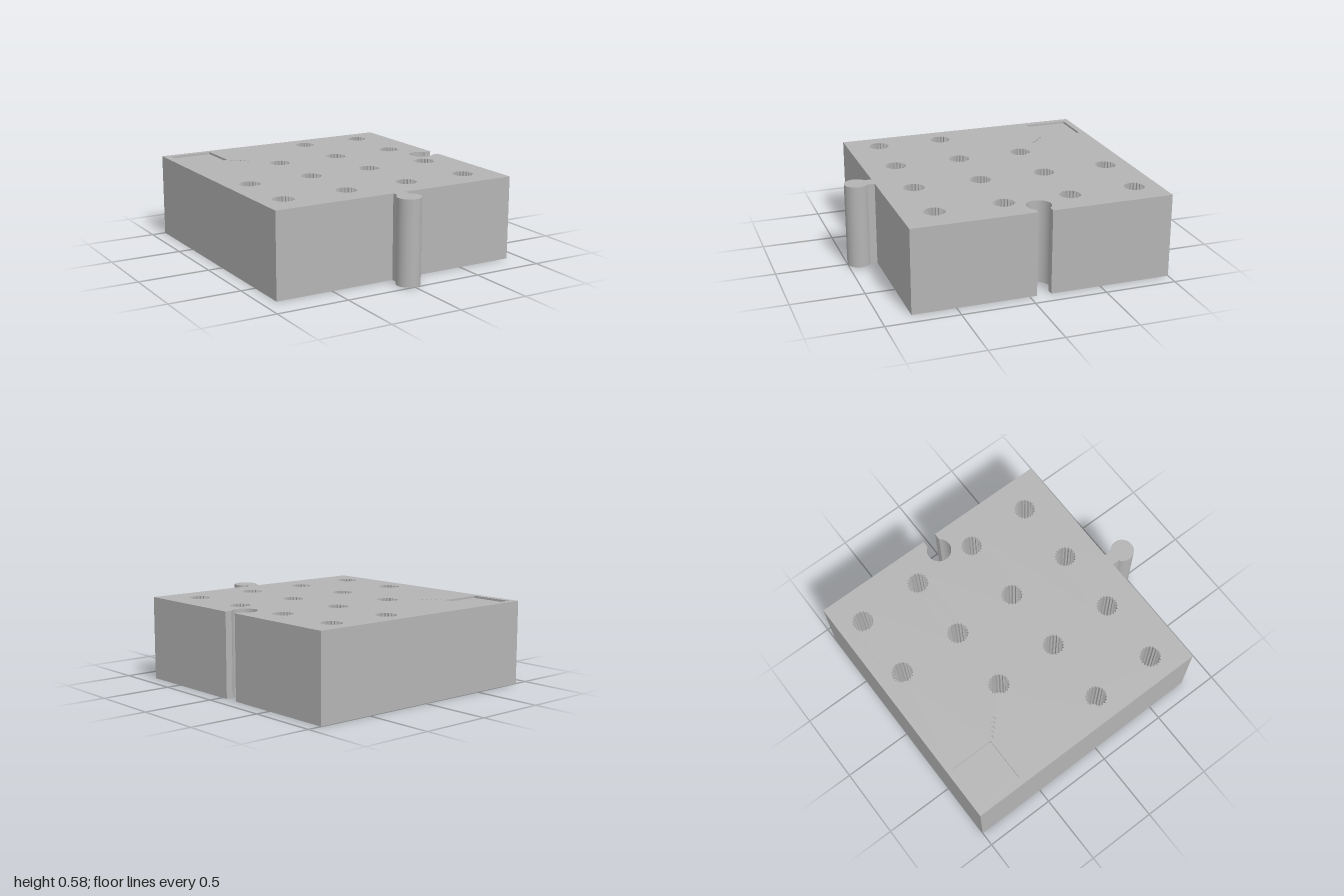
import * as THREE from 'three';
import { mergeGeometries, toCreasedNormals } from 'three/addons/utils/BufferGeometryUtils.js';

const H = 0.585, HOLE_DEPTH = 0.4, POCKET_DEPTH = 0.015;
const V = (x, z) => new THREE.Vector2(x, -z); // plan points, with plan y = -z

function arc(cx, cy, r, a0, a1, n = 40) {
  return Array.from({ length: n + 1 }, (_, i) => {
    const a = a0 + (a1 - a0) * i / n;
    return new THREE.Vector2(cx + r * Math.cos(a), cy + r * Math.sin(a));
  });
}

// Flat face at height y, facing up or down
function cap(points, y, holes = [], down = false) {
  const shape = new THREE.Shape(points);
  shape.holes = holes.map(h => new THREE.Path(h));
  const g = new THREE.ShapeGeometry(shape).rotateX(-Math.PI / 2).translate(0, y, 0);
  if (down) g.index.array.reverse();
  return g.toNonIndexed().deleteAttribute('uv').deleteAttribute('normal');
}

// Upright wall along a closed contour, facing out, or in for a cavity
function wall(points, y0, y1, inward = false) {
  const ccw = THREE.ShapeUtils.area(points) > 0;
  const pts = ccw !== inward ? points : [...points].reverse();
  const pos = [];
  pts.forEach((a, i) => {
    const b = pts[(i + 1) % pts.length];
    pos.push(a.x, y0, -a.y, b.x, y0, -b.y, b.x, y1, -b.y);
    pos.push(a.x, y0, -a.y, b.x, y1, -b.y, a.x, y1, -a.y);
  });
  return new THREE.BufferGeometry().setAttribute('position', new THREE.Float32BufferAttribute(pos, 3));
}

function rect(x0, z0, x1, z1) {
  return [V(x0, z1), V(x1, z1), V(x1, z0), V(x0, z0)];
}

// Toothed round outline
function gear(cx, cz, teeth = 20) {
  const n = teeth * 6;
  return Array.from({ length: n }, (_, i) => {
    const a = i / n * Math.PI * 2;
    const r = 0.07 + 0.005 * Math.cos(a * teeth);
    return V(cx + r * Math.cos(a), cz + r * Math.sin(a));
  });
}

export function createModel() {
  const group = new THREE.Group();
  const grey = new THREE.MeshStandardMaterial({ color: 0xb4b4b4 });
  grey.name = 'grey';
  const add = (name, parts, crease = 0.5) => {
    const mesh = new THREE.Mesh(toCreasedNormals(mergeGeometries(parts), crease), grey);
    mesh.name = name;
    group.add(mesh);
  };

  // Block outline with a round tab in front and a matching notch on the left
  const t = Math.acos(0.045 / 0.082), s = Math.asin(0.05 / 0.085);
  const outline = [
    V(-0.9, 0.8), V(-0.045, 0.8),
    ...arc(0, -0.918, 0.082, Math.PI - t, 2 * Math.PI + t),
    V(0.045, 0.8), V(0.9, 0.8), V(0.9, -0.05),
    ...arc(0.782, 0.1, 0.085, -s, s - 2 * Math.PI),
    V(0.9, -0.15), V(0.9, -1), V(-0.9, -1),
  ];

  // Grid of toothed holes, leaving out the back right corner
  const holes = [];
  [0.57, 0.1, -0.365, -0.83].forEach((z, row) => {
    [-0.725, -0.26, 0.205, 0.67].forEach((x, col) => {
      if (col >= row - 1) holes.push(gear(x, z));
    });
  });

  // Shallow square pocket and a diagonal trail of small slots
  const pockets = [rect(-0.85, -0.955, -0.54, -0.645)];
  for (let i = 0; i < 5; i++) {
    const x = -0.535 + i * 0.024, z = -0.632 + i * 0.022;
    pockets.push(rect(x, z, x + 0.022, z + 0.018));
  }

  add('block', [
    cap(outline, H, [...holes, ...pockets]),
    cap(outline, 0, [], true),
    wall(outline, 0, H),
  ]);
  holes.forEach(h => add('toothedHole', [
    wall(h, H - HOLE_DEPTH, H, true), cap(h, H - HOLE_DEPTH),
  ], 0.9));
  pockets.forEach((p, i) => add(i ? 'slot' : 'squarePocket', [
    wall(p, H - POCKET_DEPTH, H, true), cap(p, H - POCKET_DEPTH),
  ]));
  return group;
}
